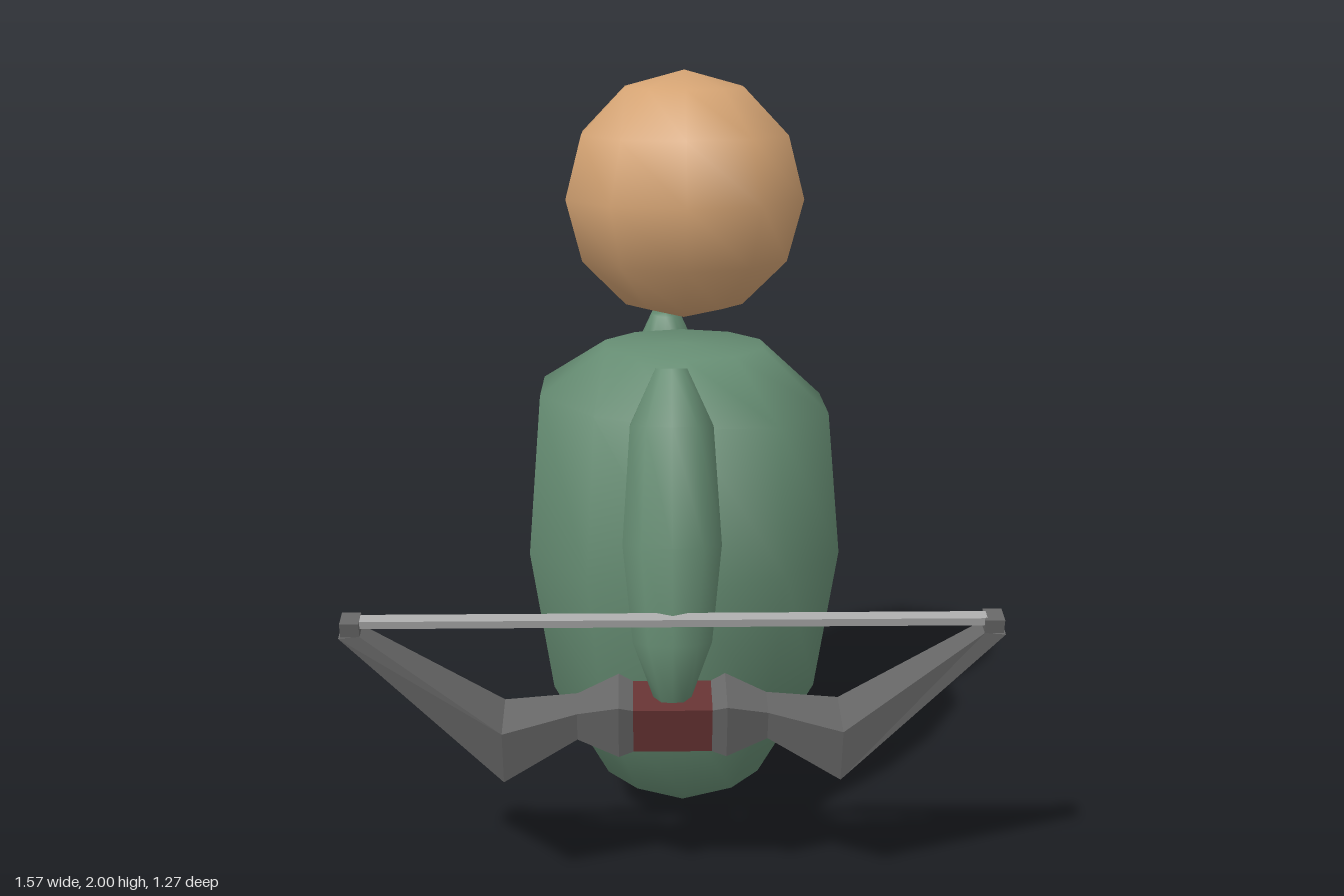
import * as THREE from 'three';

const mat = (name, color) => {
  const m = new THREE.MeshStandardMaterial({ color });
  m.name = name;
  return m;
};

function add(parent, name, geometry, material) {
  const mesh = new THREE.Mesh(geometry, material);
  mesh.name = name;
  parent.add(mesh);
  return mesh;
}

// Smooth turned shape from [radius, height] pairs, bottom to top
const turned = (profile) =>
  new THREE.LatheGeometry(profile.map(([r, y]) => new THREE.Vector2(r, y)), 10);

// Four-sided solid through cross-sections ordered by rising x.
// Section: lower x, upper x, lower y, upper y, half depth
function loft(sections) {
  const rings = sections.map(([xl, xh, lo, hi, d]) =>
    [[xl, lo, d], [xh, hi, d], [xh, hi, -d], [xl, lo, -d]]);
  const pos = [];
  const quad = (a, b, c, d) => pos.push(...a, ...b, ...c, ...a, ...c, ...d);
  for (let i = 0; i < rings.length - 1; i++) {
    for (let j = 0; j < 4; j++) {
      const k = (j + 1) % 4;
      quad(rings[i][j], rings[i + 1][j], rings[i + 1][k], rings[i][k]);
    }
  }
  quad(...rings[0]);
  quad(...rings[rings.length - 1].slice().reverse());
  const g = new THREE.BufferGeometry();
  g.setAttribute('position', new THREE.Float32BufferAttribute(pos, 3));
  g.computeVertexNormals();
  return g;
}

export function createModel() {
  const model = new THREE.Group();
  model.name = 'archer';
  const skin = mat('skin', 0xd4a373);
  const green = mat('green cloth', 0x668d73);
  const grey = mat('bow grey', 0x666666);
  const silver = mat('string silver', 0xaaaaaa);
  const maroon = mat('grip maroon', 0x663333);

  // Head
  const headGeo = new THREE.SphereGeometry(0.315, 10, 6).rotateY(Math.PI / 2);
  add(model, 'head', headGeo, skin).position.set(0.04, 1.687, 0);

  // Body, with the shoulder ring sloping slightly to one side
  const bodyGeo = turned([[0, 0.005], [0.215, 0.12], [0.365, 0.39], [0.425, 0.77],
    [0.39, 1.165], [0.215, 1.3], [0, 1.307]]);
  const p = bodyGeo.attributes.position;
  for (let i = 0; i < p.count; i++) {
    if (Math.abs(p.getY(i) - 1.165) < 0.01) p.setY(i, p.getY(i) - 0.065 * p.getX(i));
  }
  add(model, 'body', bodyGeo, green).position.x = 0.04;

  // Arms: long pods leaning away from the body
  const arm = (name, length, y, z, lean) => {
    const h = length / 2;
    const g = turned([[0, -h], [0.045, -h], [0.1, -0.64 * h], [0.125, -0.05 * h],
      [0.105, 0.66 * h], [0.04, h], [0, h]]);
    const mesh = add(model, name, g, green);
    mesh.position.set(0, y, z);
    mesh.rotation.x = lean;
  };
  arm('frontArm', 0.8, 0.925, 0.472, -0.194);
  arm('backArm', 0.875, 0.887, -0.475, 0.2);

  // Bow, tilted forward at the top
  const bow = new THREE.Group();
  bow.name = 'bow';
  bow.position.set(0, 0.347, 0.507);
  bow.rotation.x = 0.25;
  model.add(bow);

  add(bow, 'bowGrip', loft([[-0.095, -0.095, 0.083, 0.205, 0.06],
    [0.095, 0.095, 0.083, 0.205, 0.06]]), maroon);

  const limb = [[0.095, 0.095, 0.083, 0.205, 0.06], [0.13, 0.13, 0.075, 0.22, 0.07],
    [0.23, 0.23, 0.107, 0.183, 0.042], [0.41, 0.41, 0, 0.145, 0.07],
    [0.785, 0.735, 0.395, 0.4, 0.025]];
  const mirrored = limb.map(([a, b, ...rest]) => [-a, -b, ...rest]).reverse();
  for (const [side, sections] of [['left', limb], ['right', mirrored]]) {
    add(bow, side + 'Limb', loft(sections), grey);
    const knock = add(bow, side + 'StringKnock', new THREE.BoxGeometry(0.045, 0.036, 0.05), grey);
    knock.position.set(side === 'left' ? 0.757 : -0.757, 0.417, 0);
  }

  // Bow string
  add(bow, 'bowString', new THREE.BoxGeometry(1.48, 0.02, 0.03), silver).position.set(0, 0.425, 0);

  // Flat facets on the bow come from unshared vertices
  return model;
}
